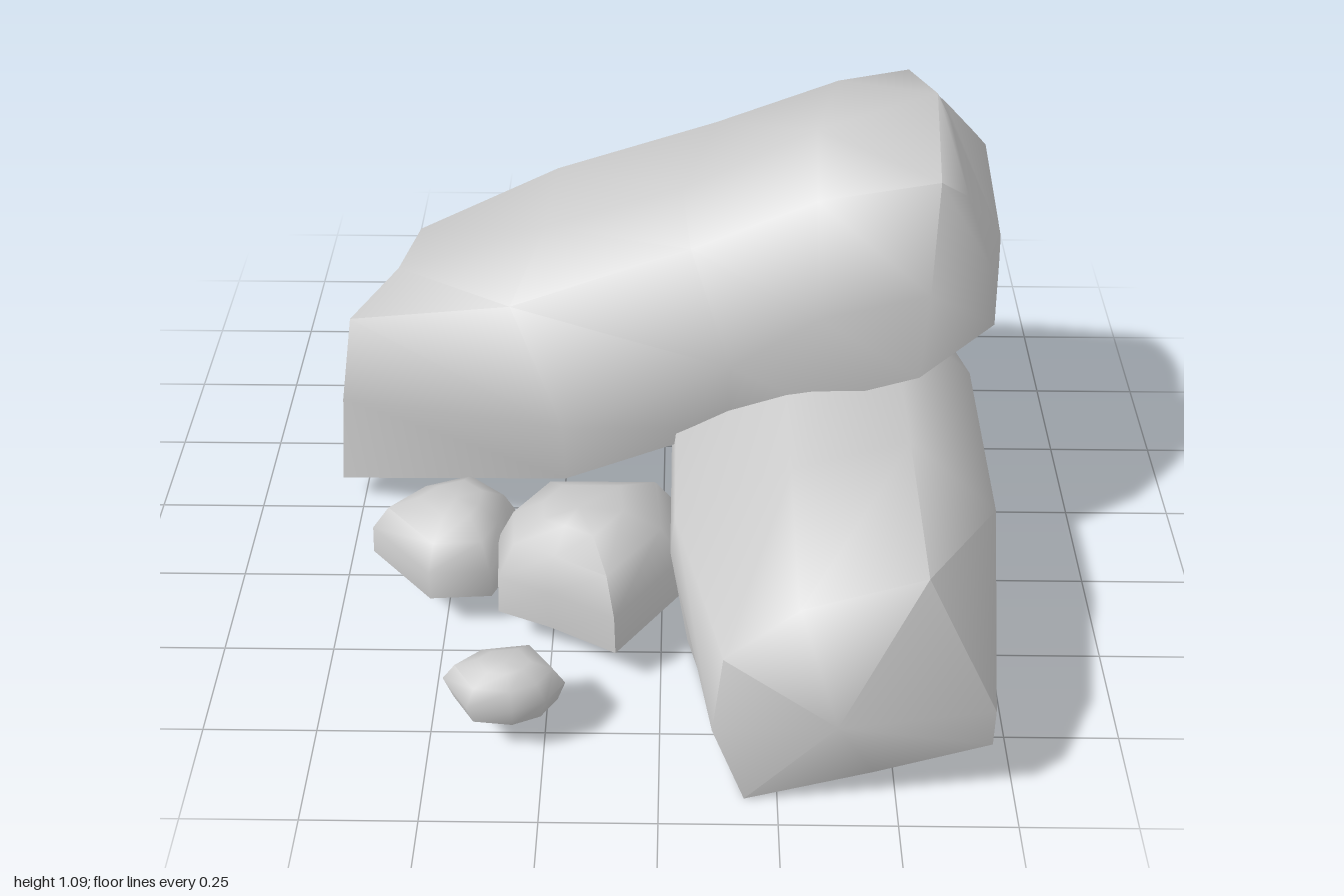
import * as THREE from 'three';
import { toCreasedNormals } from 'three/addons/utils/BufferGeometryUtils.js';

// Skins equal-length rings of [x, y, z]; a tip point caps an end, null leaves it open.
// closed = false leaves a gap between the last and first point of every ring.
// Rings run counter-clockwise when seen from the start end.
function loft(rings, closed, startTip, endTip) {
  const n = rings[0].length;
  const points = rings.flat();
  const index = [];
  for (let i = 0; i < rings.length - 1; i++) {
    for (let j = 0; j < (closed ? n : n - 1); j++) {
      const a = i * n + j, c = i * n + (j + 1) % n;
      index.push(a, a + n, c, a + n, c + n, c);
    }
  }
  const cap = (tip, first, flip) => {
    if (!tip) return;
    const t = points.push(tip) - 1;
    for (let j = 0; j < n; j++) {
      const a = first + j, b = first + (j + 1) % n;
      index.push(t, flip ? b : a, flip ? a : b);
    }
  };
  cap(startTip, 0, false);
  cap(endTip, (rings.length - 1) * n, true);
  const geo = new THREE.BufferGeometry();
  geo.setAttribute('position', new THREE.Float32BufferAttribute(points.flat(), 3));
  geo.setIndex(index);
  return toCreasedNormals(geo, 1.2);
}

export function createModel() {
  const group = new THREE.Group();
  const material = new THREE.MeshStandardMaterial({ color: 0xcccccc, roughness: 0.9, side: THREE.DoubleSide });
  const add = (name, geo) => {
    const mesh = new THREE.Mesh(geo, material);
    mesh.name = name;
    group.add(mesh);
  };

  // Tilted slab, open underneath: sections from the low end to the raised end,
  // each going front bottom, over the top, to back bottom
  const slab = [
    [[-0.8, 0.06, -0.04], [-0.78, 0.3, -0.05], [-0.75, 0.51, -0.09], [-0.65, 0.55, -0.25], [-0.62, 0.53, -0.46], [-0.53, 0.38, -0.64], [-0.5, 0.25, -0.68], [-0.52, 0.095, -0.66]],
    [[-0.23, 0.23, 0.16], [-0.23, 0.42, 0.21], [-0.35, 0.66, 0.07], [-0.28, 0.74, -0.14], [-0.26, 0.77, -0.36], [-0.2, 0.58, -0.61], [-0.2, 0.4, -0.64], [-0.2, 0.26, -0.6]],
    [[0.15, 0.38, 0.15], [0.15, 0.58, 0.19], [0.06, 0.84, 0.1], [0.04, 0.86, -0.12], [0.12, 0.9, -0.36], [0.15, 0.73, -0.53], [0.17, 0.54, -0.53], [0.15, 0.41, -0.42]],
    [[0.34, 0.49, 0.2], [0.34, 0.75, 0.24], [0.33, 0.99, 0.14], [0.34, 1.04, -0.08], [0.4, 1.04, -0.31], [0.43, 0.88, -0.43], [0.44, 0.66, -0.41], [0.38, 0.5, -0.27]],
    [[0.56, 0.64, 0.3], [0.57, 0.85, 0.29], [0.59, 1.05, 0.16], [0.61, 1.09, -0.16], [0.56, 1.07, -0.31], [0.73, 0.89, -0.34], [0.72, 0.72, -0.29], [0.55, 0.58, -0.17]],
    [[0.74, 0.67, 0.14], [0.72, 0.82, 0.14], [0.66, 0.98, 0.1], [0.64, 1.04, -0.12], [0.64, 1.03, -0.23], [0.75, 0.89, -0.28], [0.77, 0.76, -0.22], [0.78, 0.68, -0.1]],
  ];
  add('leaningSlab', loft(slab, false, [-0.72, 0.27, -0.29], [0.765, 0.79, -0.04]));

  // Supporting boulder, open underneath: front, body and back cross-sections
  const front = [[0.45, 0.08], [0.69, 0.16], [0.69, 0.25], [0.53, 0.59], [0.28, 0.51], [0.13, 0.38], [0.11, 0.19], [0.18, 0]];
  const body = [[0.45, 0.09], [0.69, 0.17], [0.73, 0.4], [0.53, 0.59], [0.28, 0.51], [0.03, 0.37], [0.02, 0.27], [0.06, 0]];
  const back = [[0.46, 0.08], [0.61, 0.15], [0.63, 0.34], [0.5, 0.48], [0.31, 0.42], [0.14, 0.32], [0.13, 0.24], [0.24, 0]];
  const section = (profile, z, lean) => profile.map(([x, y]) => [x, y, z - lean * y]);
  const boulder = [section(front, 0.93, 0.07), section(body, 0.46, 0), section(body, -0.04, 0), section(back, -0.53, 0)];
  add('supportBoulder', loft(boulder, false, [0.36, 0.29, 1], [0.36, 0.27, -0.62]));

  // Small stones: domes over an irregular outline, open underneath
  // [name, height, base factor, outline of x, z pairs]
  const stones = [
    ['leftStone', 0.175, 1, [[-0.34, 0.21], [-0.35, 0.33], [-0.39, 0.42], [-0.53, 0.43], [-0.68, 0.27], [-0.58, 0.17], [-0.45, 0.12]]],
    ['frontMiddleStone', 0.24, 1, [[0.05, 0.4], [-0.1, 0.6], [-0.25, 0.52], [-0.37, 0.47], [-0.38, 0.33], [-0.28, 0.19], [0.03, 0.19]]],
    ['frontPebble', 0.12, 0.84, [[-0.2, 0.74], [-0.24, 0.8], [-0.31, 0.83], [-0.41, 0.82], [-0.47, 0.73], [-0.4, 0.67], [-0.27, 0.65]]],
    ['backStone', 0.21, 0.9, [[0.24, -0.82], [0.2, -0.64], [0.12, -0.54], [-0.12, -0.56], [-0.34, -0.67], [-0.2, -0.99], [-0.04, -1], [0.12, -0.95]]],
    ['sidePebble', 0.12, 0.88, [[0.79, 0.02], [0.76, 0.14], [0.7, 0.18], [0.58, 0.12], [0.55, 0], [0.62, -0.08], [0.74, -0.1]]],
    ['sideBackPebble', 0.12, 0.95, [[0.76, -0.34], [0.72, -0.22], [0.62, -0.23], [0.56, -0.32], [0.62, -0.41], [0.75, -0.41]]],
  ];
  for (const [name, height, base, outline] of stones) {
    const mean = (k) => outline.reduce((sum, p) => sum + p[k], 0) / outline.length;
    const cx = mean(0), cz = mean(1), y0 = 0.095;
    const levels = [[0, base], [0.42, 0.98], [0.78, 0.78], [0.98, 0.42]];
    const rings = levels.map(([t, r]) =>
      outline.map(([x, z]) => [cx + (x - cx) * r, y0 + height * t, cz + (z - cz) * r]));
    add(name, loft(rings, true, null, [cx, y0 + height, cz]));
  }
  return group;
}
